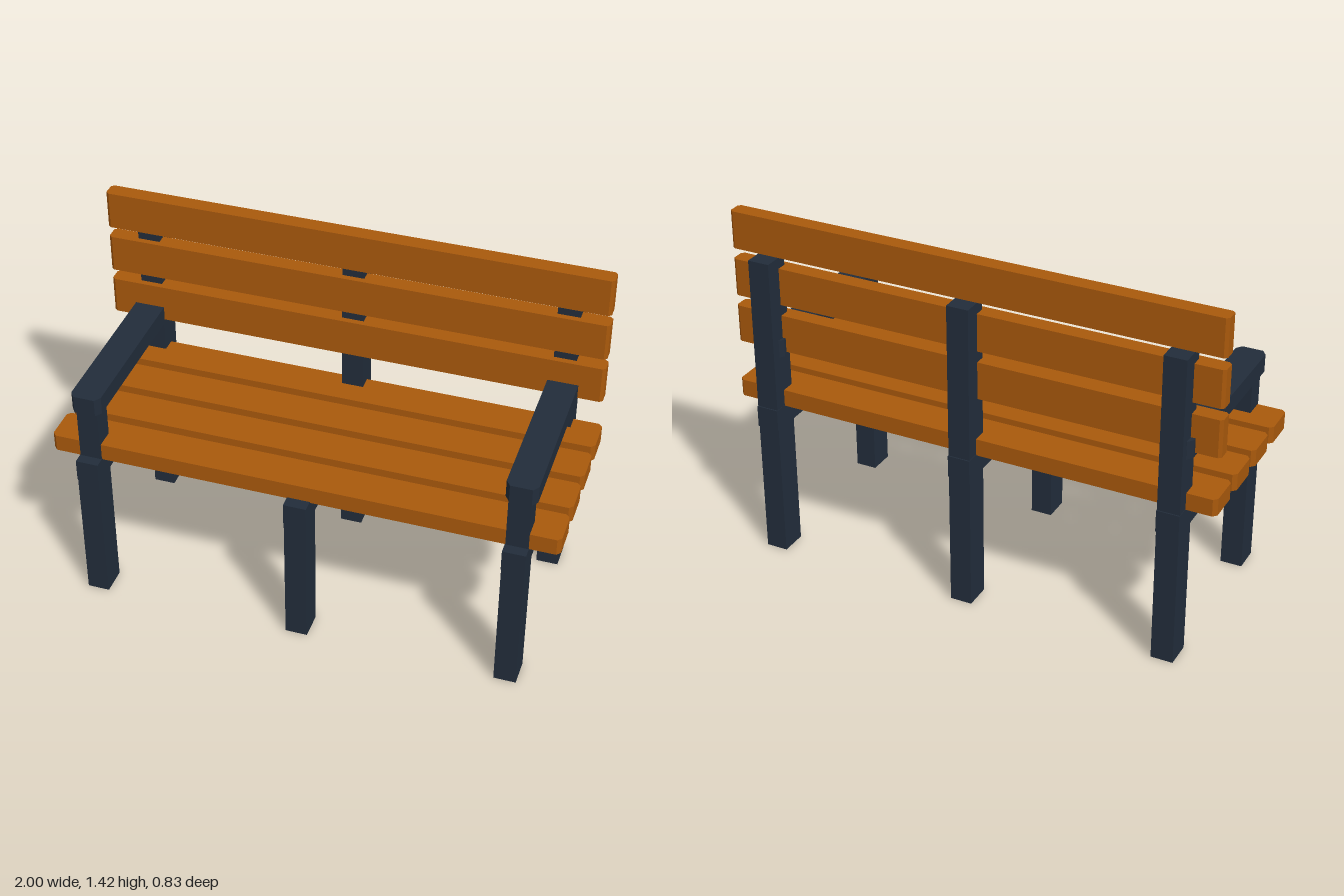
import * as THREE from 'three';

export function createModel() {
  const bench = new THREE.Group();
  bench.name = 'bench';
  const wood = new THREE.MeshStandardMaterial({ color: 0xa9590c });
  wood.name = 'wood';
  const metal = new THREE.MeshStandardMaterial({ color: 0x222d3b });
  metal.name = 'darkMetal';

  const add = (name, geometry, material) => {
    const mesh = new THREE.Mesh(geometry, material);
    mesh.name = name;
    bench.add(mesh);
  };

  // Square bar centred on x, spanning y0..y1 and z0..z1
  const bar = (name, x, width, y0, y1, z0, z1) => {
    const g = new THREE.BoxGeometry(width, y1 - y0, z1 - z0);
    g.translate(x, (y0 + y1) / 2, (z0 + z1) / 2);
    add(name, g, metal);
  };

  // Board whose four upright corners are chamfered by cx, cz
  const board = (name, material, x, width, y0, y1, z0, z1, cx, cz) => {
    const w = width / 2, d = (z1 - z0) / 2;
    const outline = new THREE.Shape([
      [w - cx, -d], [w, -d + cz], [w, d - cz], [w - cx, d],
      [-w + cx, d], [-w, d - cz], [-w, -d + cz], [-w + cx, -d],
    ].map(([a, b]) => new THREE.Vector2(a, b)));
    const g = new THREE.ExtrudeGeometry(outline, { depth: y1 - y0, bevelEnabled: false });
    g.rotateX(-Math.PI / 2);
    g.translate(x, y0, (z0 + z1) / 2);
    add(name, g, material);
  };

  // Three frames: front leg, rear post and seat rail
  for (const x of [-0.84, 0, 0.84]) {
    bar('frontLeg', x, 0.088, 0, 0.56, 0.302, 0.411);
    bar('rearPost', x, 0.088, 0, 1.265, -0.409, -0.3);
    bar('seatRail', x, 0.09, 0.555, 0.643, -0.414, 0.414);
  }

  // Armrests on the outer frames
  for (const x of [-0.843, 0.843]) {
    bar('armPost', Math.sign(x) * 0.84, 0.086, 0.64, 0.862, 0.288, 0.372);
    board('armrest', metal, x, 0.12, 0.858, 0.93, -0.378, 0.384, 0.018, 0.025);
  }

  // Seat slats
  for (let i = 0; i < 4; i++) {
    const z = 0.29 - i * 0.19;
    board('seatSlat', wood, 0, 2, 0.639, 0.708, z - 0.076, z + 0.076, 0.015, 0.016);
  }

  // Back slats
  for (let i = 0; i < 3; i++) {
    const y = 0.872 + i * 0.197;
    board('backSlat', wood, 0, 2, y, y + 0.152, -0.341, -0.276, 0.012, 0.01);
  }

  return bench;
}
